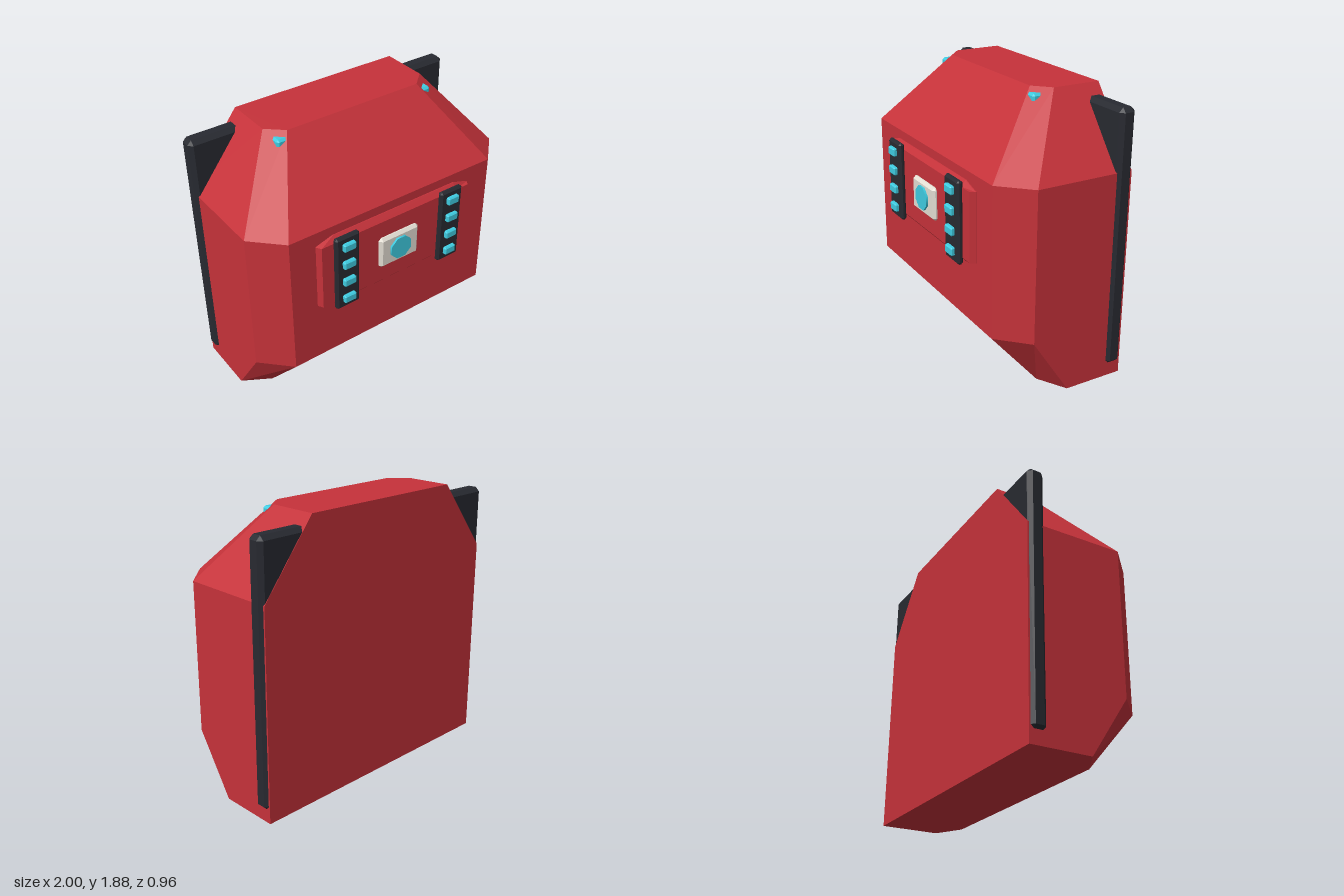
import * as THREE from 'three';
import { ConvexGeometry } from 'three/addons/geometries/ConvexGeometry.js';

const mat = (name, color) => {
  const m = new THREE.MeshStandardMaterial({ color });
  m.name = name;
  return m;
};

// Skin a list of convex rings (each a list of [x, y, z]) with capped ends and flat faces
function loft(rings) {
  const n = rings[0].length, last = rings.length - 1, pos = [];
  const tri = (a, b, c) => pos.push(...a, ...b, ...c);
  for (let r = 0; r < last; r++) {
    for (let i = 0; i < n; i++) {
      const j = (i + 1) % n;
      tri(rings[r][i], rings[r][j], rings[r + 1][j]);
      tri(rings[r][i], rings[r + 1][j], rings[r + 1][i]);
    }
  }
  for (let i = 1; i < n - 1; i++) {
    tri(rings[0][0], rings[0][i + 1], rings[0][i]);
    tri(rings[last][0], rings[last][i], rings[last][i + 1]);
  }
  const geo = new THREE.BufferGeometry();
  geo.setAttribute('position', new THREE.Float32BufferAttribute(pos, 3));
  geo.computeVertexNormals();
  return geo;
}

// Box with chamfered edges and cut corners, centred on the origin
function chamferBox(w, h, d, c) {
  const x = w / 2, y = h / 2, z = d / 2, points = [];
  for (const sx of [-1, 1]) for (const sy of [-1, 1]) for (const sz of [-1, 1]) {
    points.push(
      new THREE.Vector3(sx * x, sy * (y - c), sz * (z - c)),
      new THREE.Vector3(sx * (x - c), sy * y, sz * (z - c)),
      new THREE.Vector3(sx * (x - c), sy * (y - c), sz * z),
    );
  }
  return new ConvexGeometry(points);
}

export function createModel() {
  const group = new THREE.Group();
  const red = mat('red shell', 0xc6323a);
  const dark = mat('dark trim', 0x282a31);
  const cyan = mat('cyan light', 0x3fcde2);
  const grey = mat('pale grey', 0xe4dfd4);

  const add = (name, geo, material, x = 0, y = 0, z = 0) => {
    const mesh = new THREE.Mesh(geo, material);
    mesh.name = name;
    mesh.position.set(x, y, z);
    group.add(mesh);
  };

  // Faceted shell: [height, side half width, side corner z, front half width, front z]
  const back = -0.48;
  const shell = [
    [0, 0.98, -0.07, 0.79, 0.04],
    [0.4, 0.98, 0.19, 0.79, 0.38],
    [1.41, 0.98, 0.19, 0.79, 0.38],
    [1.88, 0.61, -0.15, 0.5, -0.05],
  ].map(([y, hw, zc, hf, zf]) => [
    [-hf, y, zf], [hf, y, zf], [hw, y, zc], [hw, y, back], [-hw, y, back], [-hw, y, zc],
  ]);
  add('shell', loft(shell), red);

  // Plate set into the shell, showing at its sides and upper corners
  add('backPlate', chamferBox(2, 1.725, 0.114, 0.028), dark, 0, 0.9475, -0.42);

  // Raised front panel with sloping edges: [z, side x, side y, inner x, inner y]
  const panel = [
    [0.37, 0.605, 0.235, 0.48, 0.275],
    [0.385, 0.605, 0.235, 0.48, 0.272],
    [0.418, 0.585, 0.235, 0.48, 0.235],
  ].map(([z, x, y, ix, iy]) => [
    [-ix, -iy, z], [ix, -iy, z], [x, -y, z], [x, y, z],
    [ix, iy, z], [-ix, iy, z], [-x, y, z], [-x, -y, z],
  ]);
  add('frontPanel', loft(panel), red, 0, 1.075, 0);

  // Centre badge and its thin octagonal light
  add('badge', chamferBox(0.31, 0.23, 0.05, 0.018), grey, 0, 1.075, 0.42);
  const disc = new THREE.CylinderGeometry(0.085, 0.085, 0.014, 8).rotateY(Math.PI / 8).rotateX(Math.PI / 2);
  add('badgeLight', disc.toNonIndexed(), cyan, 0, 1.08, 0.453);

  for (const [side, s] of [['left', 1], ['right', -1]]) {
    // Light bar with four lamps
    add(`${side}LightBar`, chamferBox(0.18, 0.56, 0.042, 0.014), dark, s * 0.415, 1.075, 0.434);
    for (let i = 0; i < 4; i++) {
      add(`${side}Lamp${i + 1}`, chamferBox(0.09, 0.058, 0.034, 0.008), cyan, s * 0.415, 1.283 - i * 0.136, 0.464);
    }
    // Small marker poking through the upper corner
    add(`${side}CornerMarker`, chamferBox(0.098, 0.08, 0.096, 0.014), cyan, s * 0.543, 1.81, -0.063);
  }
  return group;
}
